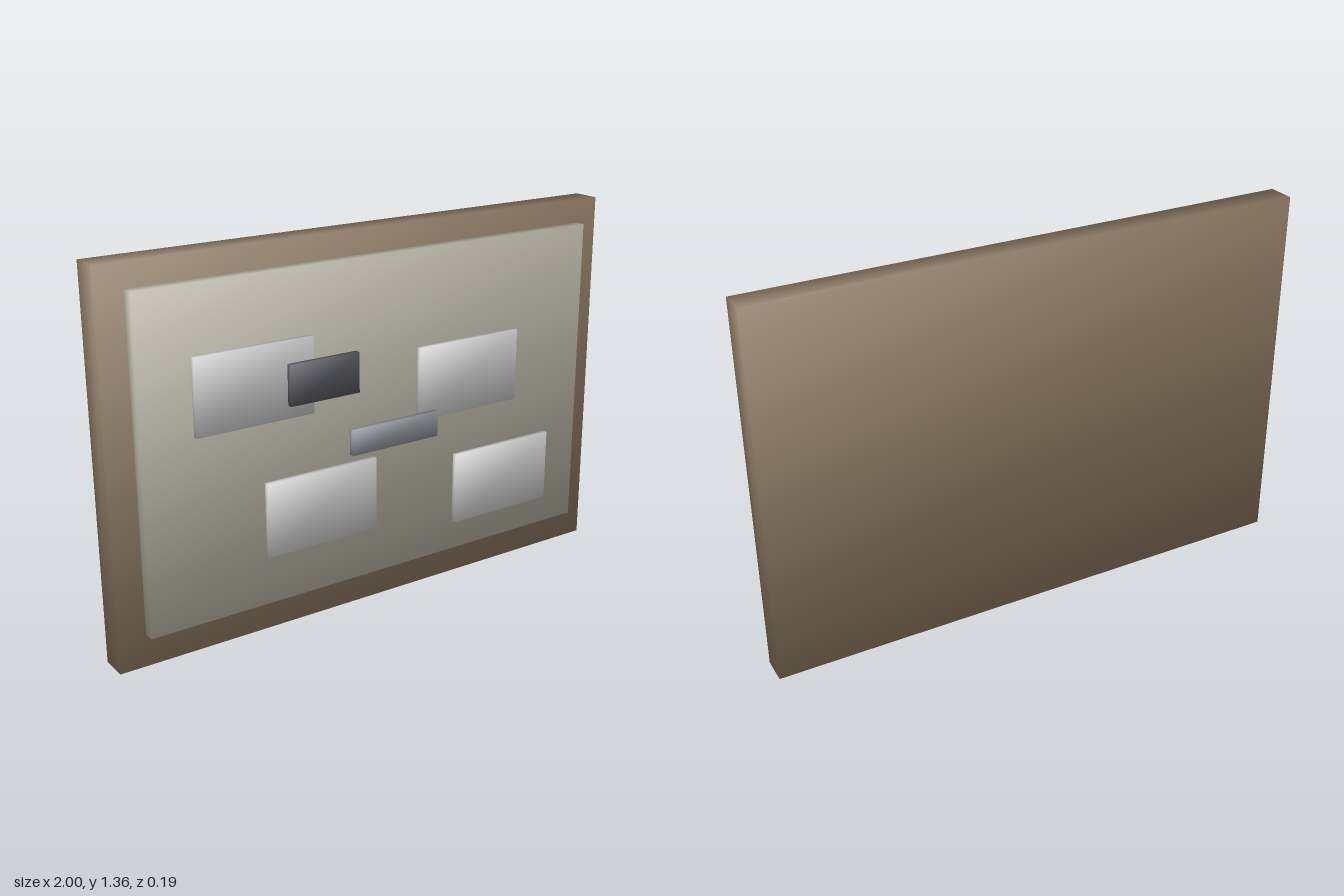
import * as THREE from 'three';

// Box given by its limits, with corner normals shared by the three faces (soft shading)
function softBox(name, color, [x0, x1], [y0, y1], [z0, z1]) {
  const geometry = new THREE.BoxGeometry(x1 - x0, y1 - y0, z1 - z0);
  const { position, normal } = geometry.attributes;
  const n = new THREE.Vector3();
  for (let i = 0; i < position.count; i++) {
    n.set(Math.sign(position.getX(i)), Math.sign(position.getY(i)), Math.sign(position.getZ(i))).normalize();
    normal.setXYZ(i, n.x, n.y, n.z);
  }
  const mesh = new THREE.Mesh(geometry, new THREE.MeshStandardMaterial({ color }));
  mesh.name = name;
  mesh.position.set((x0 + x1) / 2, (y0 + y1) / 2, (z0 + z1) / 2);
  return mesh;
}

export function createModel() {
  const board = new THREE.Group();
  board.name = 'noticeBoard';

  // Wooden backing and the pale panel in front of it
  board.add(softBox('backing', 0x8b7760, [-1, 1], [0, 1.355], [-0.096, 0.004]));
  board.add(softBox('panel', 0xb5b1a2, [-0.903, 0.903], [0.12, 1.272], [0.009, 0.05]));

  // Four equal paper cards, by lower left corner
  const cards = [[-0.717, 0.778], [0.149, 0.663], [-0.469, 0.301], [0.315, 0.233]];
  cards.forEach(([x, y], i) => {
    board.add(softBox(`card${i + 1}`, 0xc4c4c2, [x, x + 0.434], [y, y + 0.265], [0.053, 0.071]));
  });

  // Two small labels overlapping the cards
  board.add(softBox('darkLabel', 0x54555c, [-0.386, -0.12], [0.826, 0.967], [0.076, 0.096]));
  board.add(softBox('greyLabel', 0x8b9097, [-0.148, 0.21], [0.603, 0.695], [0.076, 0.096]));

  return board;
}
